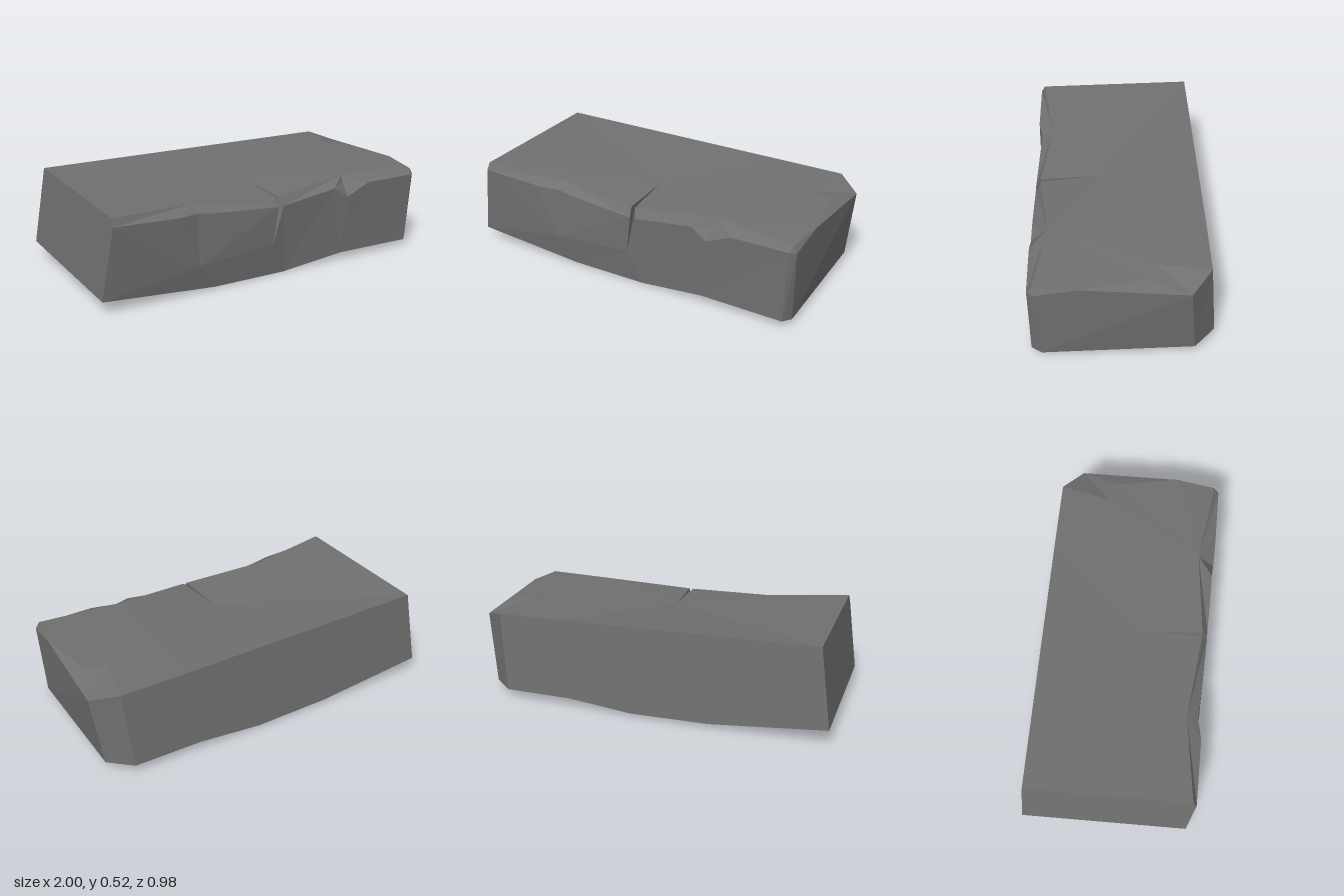
import * as THREE from 'three';

// Named corners of the chipped block
const P = {
  // bottom edge, front then back, left to right (b5/c5 lie on the right end)
  b0: [-1, .075, .43], b1: [-.36, .012, .44], b2: [.08, .003, .445],
  b3: [.45, .045, .47], b4: [.915, .035, .482], b5: [.95, .03, .43],
  c0: [-1, .09, -.49], c1: [-.36, .025, -.485], c2: [.08, .018, -.483],
  c3: [.45, .052, -.475], c4: [.83, .05, -.467], c5: [.95, .045, -.355],
  // lower edge of the worn front bevel
  l0: [-.94, .47, .46], l1: [-.58, .45, .465], l2: [-.46, .445, .443], l3: [-.36, .43, .45],
  cl: [.02, .4, .47], cr: [.055, .4, .47],
  l4: [.39, .44, .475], l5: [.48, .38, .483], l6: [.62, .44, .485], l7: [.935, .435, .487],
  // upper edge of the bevel
  u0: [-.935, .51, .44], u1: [-.46, .48, .38], ul: [.013, .45, .44],
  ur: [.035, .45, .44], u2: [.5, .48, .39], u3: [.945, .465, .46],
  // top, back and right corners
  backL: [-.935, .527, -.455], backM: [.5, .497, -.437], backR: [.87, .49, -.43],
  k0: [.81, .485, -.15], k1: [.92, .478, -.1], k2: [.98, .475, .24],
  side: [1, .44, -.32], r0: [.967, .43, .46],
  // dent in the front, crack ends, chip bottom
  dent: [-.46, .16, .46], crackLow: [-.005, .19, .465], crackTip: [.013, .465, .12], chip: [.49, .447, .415],
};

// Each surface is a set of fans: first corner, then its ring counter-clockwise
const bottom = [0, 1, 2, 3, 4].map(i => `c${i} c${i + 1} b${i + 1} b${i}`);
const parts = {
  frontFace: ['dent b0 b1 crackLow cl l3 l2 l1 l0 b0', 'b1 b2 crackLow',
    'b2 l4 cr crackLow', 'b2 b3 l4', 'b3 b4 l7 l6 l5 l4'],
  frontBevel: ['u1 u0 l0 l1 l2 l3 cl ul', 'u2 ur cr l4 chip l6 l7 u3'],
  edgeChip: ['chip l4 l5 l6'],
  crack: ['crackLow crackTip ul cl', 'crackLow cr ur crackTip'],
  topFace: ['crackTip ur u2 backM backL u0 u1 ul', 'u2 u3 k2 k1 k0 backR backM'],
  cornerChip: ['side backR k0 k1 k2'],
  rightEnd: ['b5 c5 side k2 r0', 'r0 k2 u3'],
  rightFrontBevel: ['b4 b5 r0 l7', 'l7 r0 u3'],
  rightBackBevel: ['c5 c4 backR side'],
  backFace: ['backM backR c4 c3 c2 c1 c0 backL'],
  leftEnd: ['b0 l0 u0 backL c0'],
  bottomFace: bottom,
};

function fanGeometry(fans) {
  const pos = [];
  for (const fan of fans) {
    const [hub, ...ring] = fan.split(' ').map(n => P[n]);
    for (let i = 0; i < ring.length - 1; i++) pos.push(...hub, ...ring[i], ...ring[i + 1]);
  }
  const g = new THREE.BufferGeometry();
  g.setAttribute('position', new THREE.Float32BufferAttribute(pos, 3));
  g.computeVertexNormals();
  return g;
}

export function createModel() {
  const stone = new THREE.MeshStandardMaterial({ color: 0x707070, flatShading: true });
  stone.name = 'grey stone';
  const block = new THREE.Group();
  block.name = 'stoneBlock';
  for (const [name, fans] of Object.entries(parts)) {
    const mesh = new THREE.Mesh(fanGeometry(fans), stone);
    mesh.name = name;
    block.add(mesh);
  }
  return block;
}
